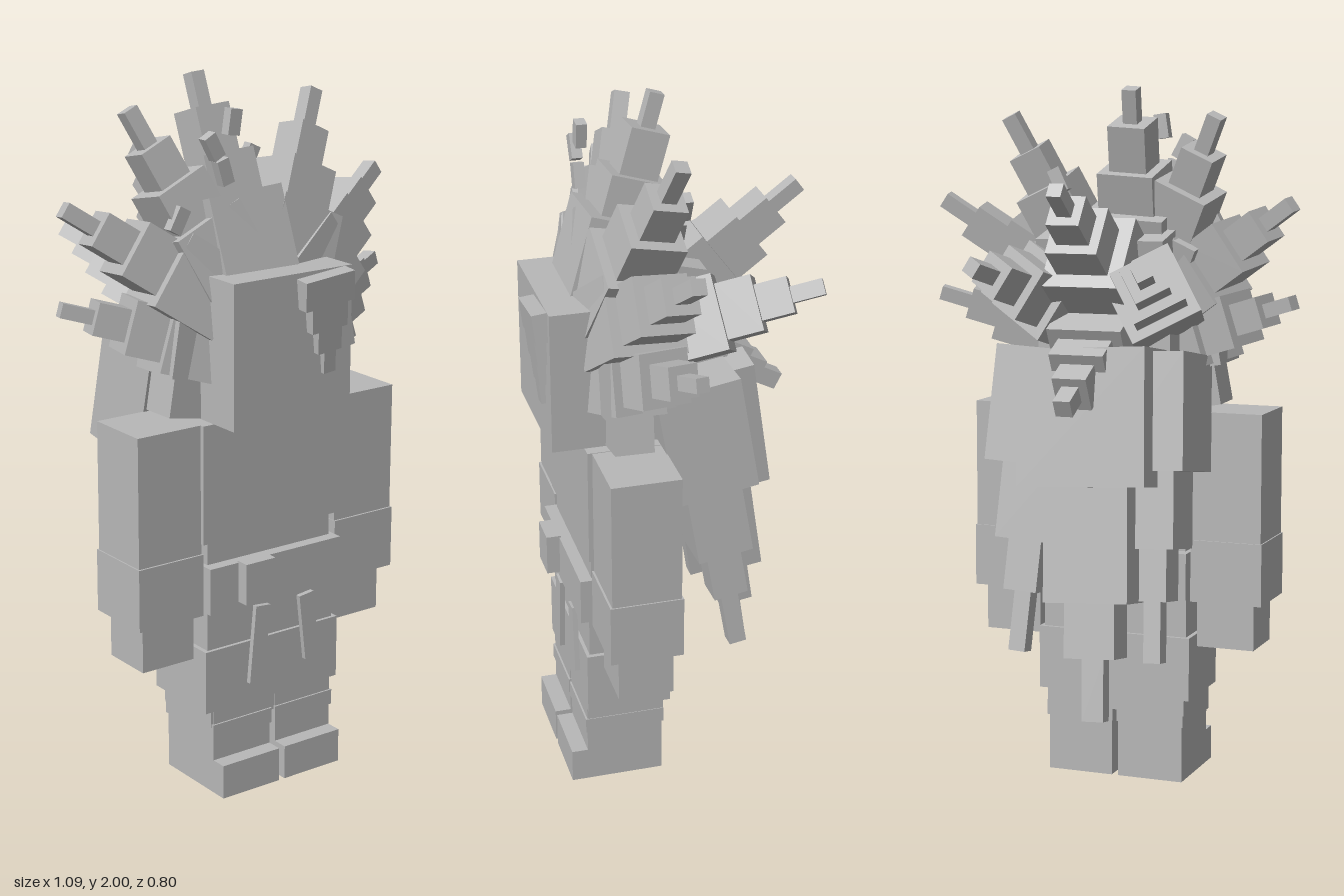
import * as THREE from 'three';

const grey = new THREE.MeshStandardMaterial({ color: 0xb8b8b8 });
grey.name = 'plain grey';
const V = (a) => new THREE.Vector3(...a);

export function createModel() {
  const model = new THREE.Group();
  model.name = 'spikyHairedFigure';

  const mesh = (name, w, h, d, parent = model) => {
    const m = new THREE.Mesh(new THREE.BoxGeometry(w, h, d), grey);
    m.name = name;
    parent.add(m);
    return m;
  };
  // box from its limits on each axis
  const box = (name, [x0, x1], [y0, y1], [z0, z1]) => {
    const m = mesh(name, x1 - x0, y1 - y0, z1 - z0);
    m.position.set((x0 + x1) / 2, (y0 + y1) / 2, (z0 + z1) / 2);
    return m;
  };
  // tapering stack of boxes from one point to another; ref sets which way a side faces
  const spike = (name, from, to, widths, { ends = [0, 0.38, 0.6, 0.8, 1], ref = [0, 0, 1], flat = 1, thick } = {}) => {
    const g = new THREE.Group();
    g.name = name;
    const a = V(from), dir = V(to).sub(a), length = dir.length();
    dir.normalize();
    const x = new THREE.Vector3().crossVectors(dir, V(ref)).normalize();
    const z = new THREE.Vector3().crossVectors(x, dir);
    g.quaternion.setFromRotationMatrix(new THREE.Matrix4().makeBasis(x, dir, z));
    g.position.copy(a);
    widths.forEach((w, i) => {
      const h = (ends[i + 1] - ends[i]) * length;
      mesh(name + 'Segment', w, h, thick ?? w * flat, g).position.y = ends[i] * length + h / 2;
    });
    model.add(g);
  };

  // torso and clothing
  box('torso', [-0.235, 0.23], [0.75, 1.09], [0.05, 0.27]);
  box('waist', [-0.215, 0.21], [0.68, 0.75], [0.06, 0.26]);
  box('belt', [-0.23, 0.225], [0.55, 0.685], [0.018, 0.295]);
  box('buckle', [-0.135, -0.035], [0.57, 0.69], [0.29, 0.333]);
  box('hips', [-0.222, 0.217], [0.43, 0.55], [0.045, 0.27]);
  box('trousers', [-0.235, 0.23], [0.25, 0.435], [0.035, 0.28]);
  box('trouserHem', [-0.215, 0.21], [0.2, 0.25], [0.05, 0.275]);
  for (const [x, y, h, r] of [[-0.06, 0.425, 0.23, -0.09], [0.115, 0.44, 0.2, 0.12]]) {
    const s = mesh('sashEnd', 0.05, h, 0.015);
    s.position.set(x, y, 0.291);
    s.rotation.z = r;
  }

  // arms and legs
  for (const s of [-1, 1]) {
    const side = (name, x0, x1, y, z) => box(name, s > 0 ? [x0, x1] : [-x1, -x0], y, z);
    side('upperArm', 0.233, 0.439, [0.72, 1.09], [0.06, 0.257]);
    side('sleeve', 0.231, 0.443, [0.54, 0.72], [0.055, 0.263]);
    side('hand', 0.245, 0.415, [0.405, 0.54], [0.077, 0.235]);
    side('legCuff', 0.006, 0.212, [0.165, 0.21], [0.05, 0.283]);
    side('leg', 0.01, 0.207, [0.1, 0.25], [0.055, 0.278]);
    side('foot', 0.01, 0.207, [0, 0.1], [0.055, 0.325]);
  }

  // head
  box('head', [-0.2, 0.197], [1.09, 1.495], [-0.04, 0.36]);
  const scalp = mesh('scalp', 0.38, 0.24, 0.24);
  scalp.position.set(0, 1.49, 0.07);
  scalp.rotation.x = -0.25;
  spike('forelock', [0.09, 1.485, 0.38], [0.115, 1.21, 0.35], [0.165, 0.12, 0.08, 0.04],
    { ends: [0, 0.3, 0.55, 0.78, 1], thick: 0.045 });

  // fan of spikes round the face
  spike('crownSpike', [-0.035, 1.45, 0.16], [-0.07, 1.995, -0.005], [0.24, 0.165, 0.11, 0.042],
    { ends: [0, 0.4, 0.6, 0.83, 1] });
  for (const s of [-1, 1]) {
    const fan = [0.22, 0.16, 0.1, 0.044];
    spike('upperSpike', [s * 0.08, 1.43, 0.16], [s * 0.31, 1.92, 0.03], fan);
    spike('middleSpike', [s * 0.12, 1.4, 0.16], [s * 0.525, 1.68, 0.045], fan);
    spike('lowerSpike', [s * 0.12, 1.28, 0.17], [s * 0.535, 1.41, 0.035], [0.2, 0.15, 0.09, 0.04]);
    spike('sideLock', [s * 0.2, 1.38, 0.15], [s * 0.25, 1.1, 0.155], [0.17, 0.11],
      { ends: [0, 0.6, 1] });
    // spikes at the back of the head, turned on edge
    spike('backSpike', [s * 0.13, 1.39, 0.03], [s * 0.245, 1.515, -0.39], [0.21, 0.155, 0.1, 0.045],
      { ref: [1, s * 0.6, 0] });
    // side strands of the long hair
    spike('sideStrand', [s * 0.16, 1.26, -0.03], [s * 0.205, 0.41, -0.17], [0.24, 0.16, 0.1, 0.05],
      { ends: [0, 0.38, 0.63, 0.8, 1] });
  }
  spike('backTopSpike', [0, 1.44, -0.01], [0, 1.725, -0.39], [0.23, 0.15, 0.095, 0.042], { ref: [1, 0, 0] });
  spike('napeSpike', [0, 1.3, -0.02], [0, 1.135, -0.34], [0.22, 0.16, 0.1, 0.05], { ref: [1, 0, 0] });

  // long tail of hair down the back
  spike('hairTail', [0, 1.27, -0.09], [-0.06, 0.25, -0.255], [0.38, 0.25, 0.15, 0.065],
    { ends: [0, 0.37, 0.68, 0.83, 1], flat: 0.66 });

  // small loose tufts above the hair
  for (const [x, y, z, r] of [[-0.09, 1.89, 0.2, -0.15], [-0.155, 1.83, 0.2, 0.5], [-0.12, 1.76, 0.2, 0.3],
    [-0.25, 1.64, 0.175, -0.5], [0.135, 1.74, -0.03, -0.45], [0.07, 1.65, -0.03, -0.45]]) {
    const tuft = mesh('looseTuft', 0.038, 0.07, 0.03);
    tuft.position.set(x, y, z);
    tuft.rotation.z = r;
  }

  return model;
}
